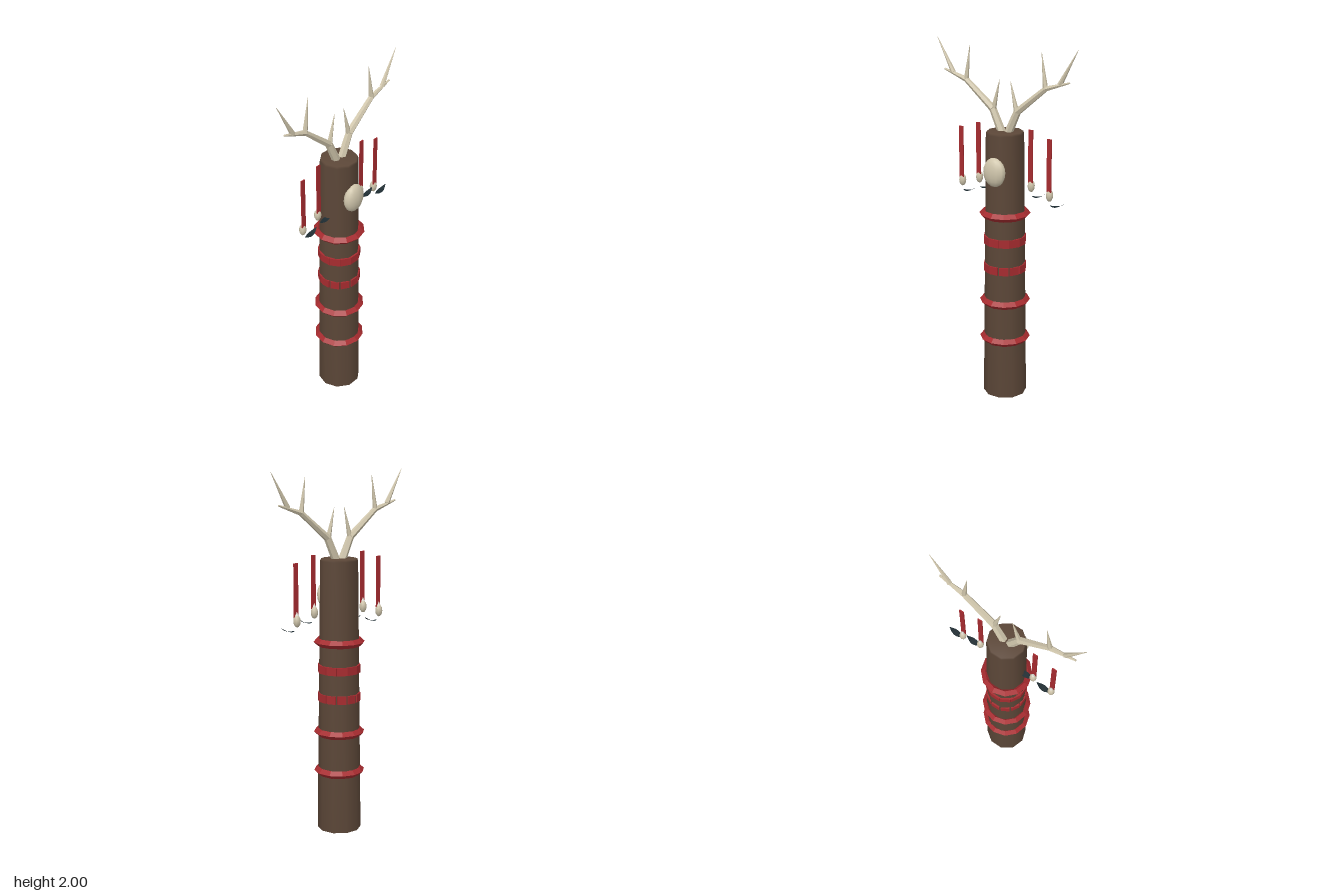
import * as THREE from 'three';
import { mergeVertices } from 'three/addons/utils/BufferGeometryUtils.js';

const material = (name, color, extra = {}) => {
  const m = new THREE.MeshStandardMaterial({ color, ...extra });
  m.name = name;
  return m;
};

export function createModel() {
  const wood = material('brown wood', 0x5c4738);
  const red = material('red cloth', 0xa62b2f, { flatShading: true });
  const bone = material('bone', 0xd0c6ac);
  const antlerBone = material('antler bone', 0xd0c6ac, { flatShading: true });
  const white = material('white tip', 0xf0ece2);
  const dark = material('dark feather', 0x1c2a30, { side: THREE.DoubleSide });

  const model = new THREE.Group();
  model.name = 'antlerTotem';
  const add = (name, geometry, mat, x = 0, y = 0, z = 0, parent = model) => {
    const mesh = new THREE.Mesh(geometry, mat);
    mesh.name = name;
    mesh.position.set(x, y, z);
    parent.add(mesh);
    return mesh;
  };

  // Ten-sided tapered trunk, shaded softly across its ends
  const profile = [[0, 0], [0.122, 0], [0.103, 1.52], [0.098, 1.532], [0, 1.532]];
  let trunk = new THREE.LatheGeometry(
    profile.map(([r, y]) => new THREE.Vector2(r, y)), 10, Math.PI / 10);
  trunk.deleteAttribute('normal');
  trunk.deleteAttribute('uv');
  trunk = mergeVertices(trunk, 1e-4);
  trunk.computeVertexNormals();
  add('trunk', trunk, wood);

  // Rope rings with a diamond section
  for (const y of [0.34, 0.565, 1.075]) {
    const ring = add('ropeRing', new THREE.TorusGeometry(0.119, 0.022, 4, 12), red, 0, y, 0);
    ring.rotation.x = Math.PI / 2;
  }

  // Bands made of separate cloth patches
  [[0.765, 0.05, 0.108], [0.925, 0.057, 0.107]].forEach(([y, width, radius]) => {
    const band = new THREE.Group();
    band.name = 'patchBand';
    model.add(band);
    for (let i = 0; i < 12; i++) {
      const a = (i / 12) * Math.PI * 2;
      const patch = add('clothPatch', new THREE.BoxGeometry(width, 0.045, 0.015), red,
        Math.sin(a) * radius, y, Math.cos(a) * radius, band);
      patch.rotation.y = a;
    }
  });

  // Oval bone mask on the front
  add('boneMask', new THREE.SphereGeometry(1, 12, 10), bone, 0, 1.325, 0.104)
    .scale.set(0.068, 0.08, 0.037);

  // Straight tapered piece between two points in the antler plane
  const limb = (name, [x0, y0, r0], [x1, y1, r1], parent) => {
    const d = new THREE.Vector3(x1 - x0, y1 - y0, 0);
    const mesh = add(name, new THREE.CylinderGeometry(r1, r0, d.length(), 6), antlerBone,
      (x0 + x1) / 2, (y0 + y1) / 2, 0, parent);
    mesh.quaternion.setFromUnitVectors(new THREE.Vector3(0, 1, 0), d.normalize());
  };

  // Branching antlers
  for (const s of [-1, 1]) {
    const antler = new THREE.Group();
    antler.name = s > 0 ? 'leftAntler' : 'rightAntler';
    model.add(antler);
    const beam = [[0.015, 1.51, 0.023], [0.078, 1.645, 0.02], [0.25, 1.785, 0.015], [0.393, 1.83, 0.005]];
    const tines = [
      [[0.074, 1.64, 0.015], [0.034, 1.805, 0.001]],
      [[0.25, 1.785, 0.014], [0.225, 1.97, 0.001]],
      [[0.335, 1.815, 0.014], [0.439, 2.0, 0.001]],
    ];
    const flip = ([x, y, r]) => [s * x, y, r];
    for (let i = 0; i < 3; i++) limb('antlerBeam', flip(beam[i]), flip(beam[i + 1]), antler);
    for (const [a, b] of tines) limb('antlerTine', flip(a), flip(b), antler);
  }

  // Leaf-shaped feather that curves upward to its tip
  const feather = new THREE.PlaneGeometry(1, 1, 8, 2);
  const p = feather.attributes.position;
  for (let i = 0; i < p.count; i++) {
    const t = p.getX(i) + 0.5, side = p.getY(i);
    p.setXYZ(i, t * 0.085, 0.045 * t * t - 0.022 * t + 0.003,
      side * 0.034 * Math.sin(Math.PI * (0.04 + 0.94 * t)));
  }
  feather.computeVertexNormals();

  // Hanging ribbons, each with a bone bead and a feather
  for (const s of [-1, 1]) {
    for (const [x, top, name] of [[0.168, 1.56, 'innerCharm'], [0.283, 1.525, 'outerCharm']]) {
      const charm = new THREE.Group();
      charm.name = name;
      charm.position.set(s * x, top, 0);
      model.add(charm);
      add('ribbon', new THREE.BoxGeometry(0.027, 0.29, 0.006), red, 0, -0.145, 0.008, charm);
      add('bead', new THREE.SphereGeometry(1, 8, 6), bone, 0, -0.308, 0, charm)
        .scale.set(0.02, 0.034, 0.02);
      add('beadTip', new THREE.ConeGeometry(0.017, 0.04, 6), white, 0, -0.276, 0, charm);
      add('feather', feather, dark, 0.01, -0.363, 0.008, charm);
    }
  }
  return model;
}
